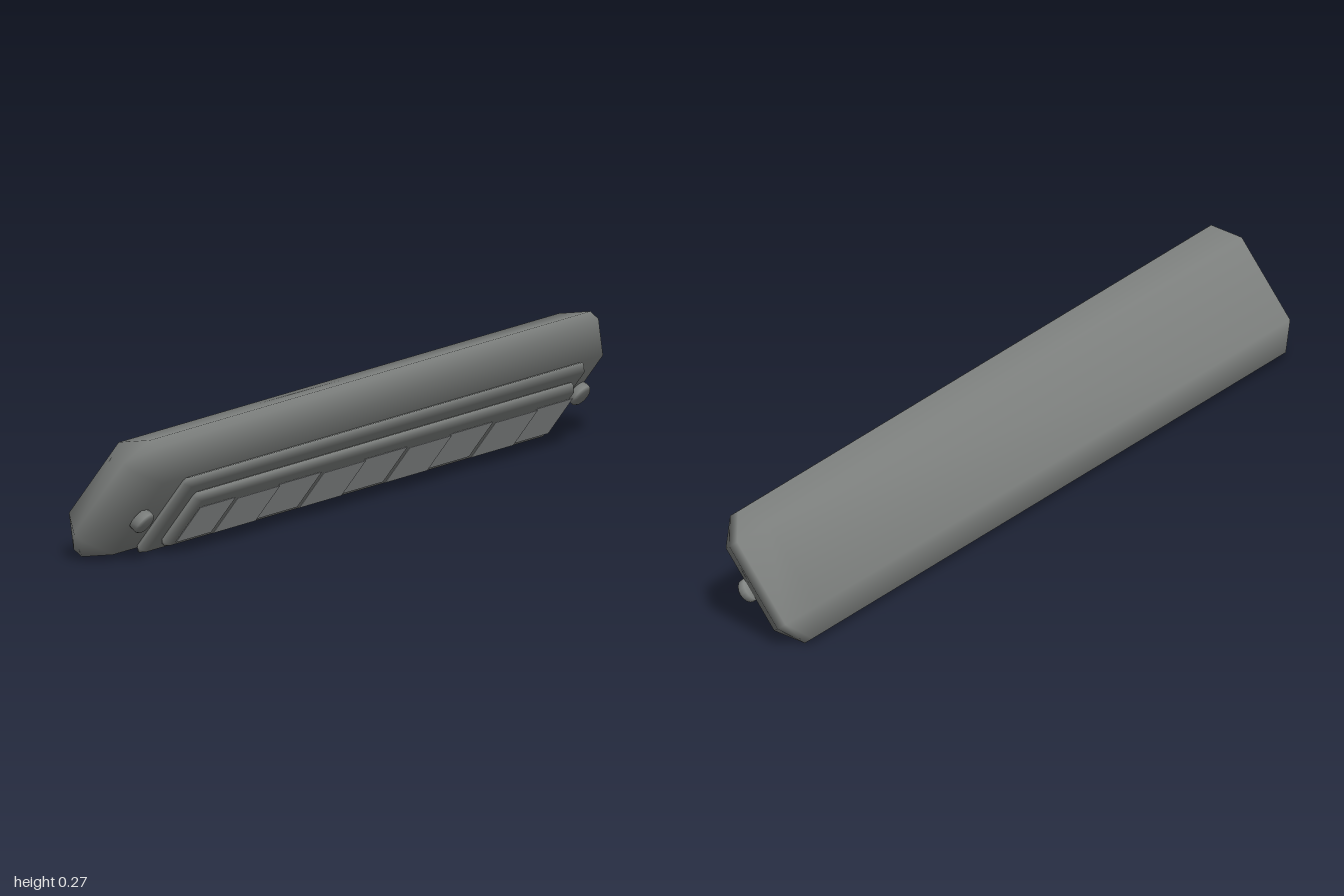
import * as THREE from 'three';
import { mergeVertices } from 'three/addons/utils/BufferGeometryUtils.js';
import { ConvexGeometry } from 'three/addons/geometries/ConvexGeometry.js';

// Box with one flat chamfer on each edge, softened by smooth normals
function bevelBox(w, h, d, b) {
  const points = [];
  for (const x of [-1, 1]) for (const y of [-1, 1]) for (const z of [-1, 1]) {
    const X = w / 2, Y = h / 2, Z = d / 2;
    points.push(
      new THREE.Vector3(x * X, y * (Y - b), z * (Z - b)),
      new THREE.Vector3(x * (X - b), y * Y, z * (Z - b)),
      new THREE.Vector3(x * (X - b), y * (Y - b), z * Z));
  }
  const g = new ConvexGeometry(points);
  g.deleteAttribute('normal');
  const merged = mergeVertices(g, 1e-5);
  merged.computeVertexNormals();
  return merged;
}

export function createModel() {
  const model = new THREE.Group();
  model.name = 'lightBar';
  const bodyGrey = new THREE.MeshStandardMaterial({ color: 0x7f8280 });
  bodyGrey.name = 'body grey';
  const panelGrey = new THREE.MeshStandardMaterial({ color: 0xb0b4b5 });
  panelGrey.name = 'panel grey';

  // Tilted frame: local x points out of the lamp face, local y runs up the face
  const bar = new THREE.Group();
  bar.name = 'tiltedBar';
  bar.rotation.z = -Math.atan2(0.6, 0.8);
  model.add(bar);
  const mid = 0.1065;

  function add(name, geometry, material, x, y, z) {
    const mesh = new THREE.Mesh(geometry, material);
    mesh.name = name;
    mesh.position.set(x, y, z);
    bar.add(mesh);
    return mesh;
  }

  // Housing and the two stepped frames
  add('housing', bevelBox(0.137, 0.318, 2, 0.056), bodyGrey, -0.0875, mid, 0);
  add('outerFrame', bevelBox(0.03, 0.215, 1.71, 0.013), bodyGrey, -0.011, mid, 0);
  add('innerFrame', bevelBox(0.03, 0.153, 1.62, 0.012), bodyGrey, 0.011, mid, 0);

  // Row of thin lens panels, short ones at the ends, at alternating heights
  const cuts = [-0.8, -0.645, -0.46, -0.276, -0.092, 0.092, 0.276, 0.46, 0.645, 0.8];
  for (let i = 0; i < 9; i++) {
    const length = cuts[i + 1] - cuts[i] - 0.004;
    add('lensPanel', new THREE.BoxGeometry(0.0015, 0.102, length), panelGrey,
      i % 2 ? 0.035 : 0.031, mid, (cuts[i] + cuts[i + 1]) / 2);
  }

  // Round-edged bolt at each end
  const profile = [[0, -0.012], [0.027, -0.012], [0.027, 0.006], [0.021, 0.012], [0, 0.012]]
    .map(([r, h]) => new THREE.Vector2(r, h));
  for (const side of [-1, 1]) {
    const bolt = add('bolt', new THREE.LatheGeometry(profile, 16), bodyGrey, -0.01, mid, side * 0.936);
    bolt.rotation.z = -Math.PI / 2;
  }

  model.position.y = -0.002;
  return model;
}
